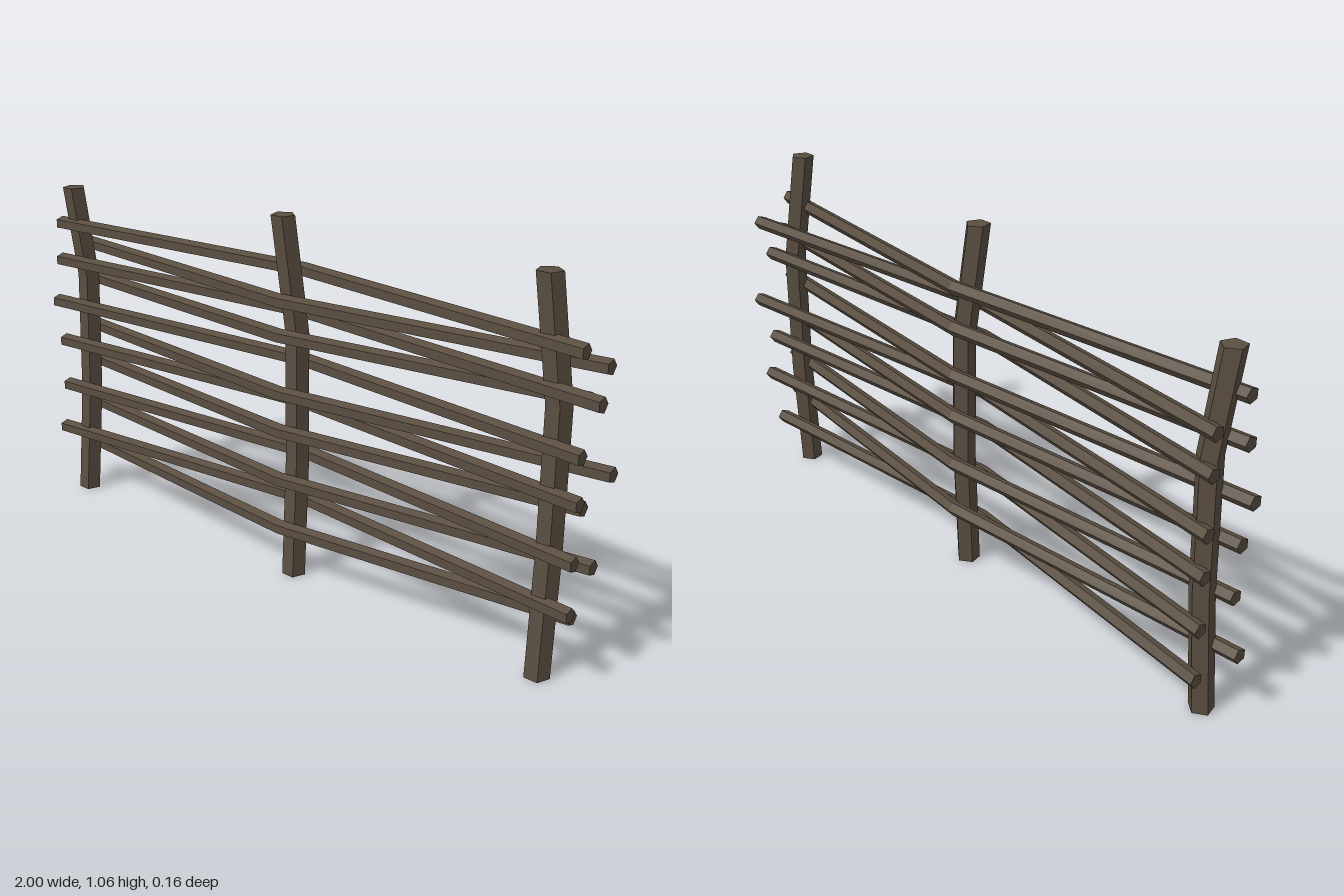
import * as THREE from 'three';

const SIDES = 5;

// Five-sided stick whose rings sit on the points of a path.
// Upright sticks have level rings; lying sticks have rings facing along x.
function stickGeometry(points, radius, lying) {
  const n = points.length - 1;
  const geo = new THREE.CylinderGeometry(radius, radius, n, SIDES, n, false, Math.PI);
  const pos = geo.attributes.position;
  for (let i = 0; i < pos.count; i++) {
    const [px, py, pz] = points[Math.round(pos.getY(i) + n / 2)];
    const a = pos.getX(i), b = pos.getZ(i);
    if (lying) pos.setXYZ(i, px, py - a, pz + b);
    else pos.setXYZ(i, px + a, py, pz + b);
  }
  const flat = geo.toNonIndexed();
  flat.computeVertexNormals();
  return flat;
}

export function createModel() {
  const group = new THREE.Group();
  group.name = 'wovenFence';
  const wood = new THREE.MeshStandardMaterial({ color: 0x5a4e41, flatShading: true });
  wood.name = 'dark weathered wood';

  const add = (name, geo) => {
    const mesh = new THREE.Mesh(geo, wood);
    mesh.name = name;
    group.add(mesh);
  };

  // Crooked posts: x at foot, lower bend, upper bend and top, then height
  const posts = [
    ['rightPost', -0.912, -0.9, -0.893, -0.912, 1.01],
    ['middlePost', 0.018, 0.013, 0.008, -0.02, 1.06],
    ['leftPost', 0.86, 0.857, 0.855, 0.823, 1.06],
  ];
  for (const [name, x0, x1, x2, x3, h] of posts) {
    add(name, stickGeometry(
      [[x0, 0, 0.028], [x1, 0.35, 0.006], [x2, 0.73, 0.001], [x3, h, 0.028]], 0.035, false));
  }

  // Woven rails: x and y of one end, x and y of the other, z of that end.
  // They pass alternately behind and in front of the middle post.
  const rails = [
    [-0.96, 0.893, 0.95, 0.893, 0.052],
    [-0.945, 0.818, 0.955, 0.83, -0.058],
    [-0.97, 0.773, 1.0, 0.775, 0.048],
    [-0.945, 0.71, 0.91, 0.738, -0.05],
    [-1.0, 0.631, 0.955, 0.631, 0.045],
    [-0.945, 0.55, 0.98, 0.561, -0.062],
    [-0.975, 0.503, 0.955, 0.508, 0.04],
    [-0.945, 0.433, 0.91, 0.452, -0.055],
    [-0.97, 0.353, 0.955, 0.353, 0.045],
    [-0.945, 0.283, 0.95, 0.305, -0.055],
    [-1.0, 0.198, 0.955, 0.214, 0.047],
    [-0.945, 0.134, 0.91, 0.155, -0.042],
  ];
  rails.forEach(([xa, ya, xb, yb, zb], i) => {
    const front = i % 2 === 1;
    const za = front ? -0.04 : 0.05;
    const zMid = front ? 0.055 : -0.046;
    add('rail' + (i + 1), stickGeometry(
      [[xa, ya, za], [-0.01, (ya + yb) / 2, zMid], [xb, yb, zb]], 0.0215, true));
  });

  return group;
}
